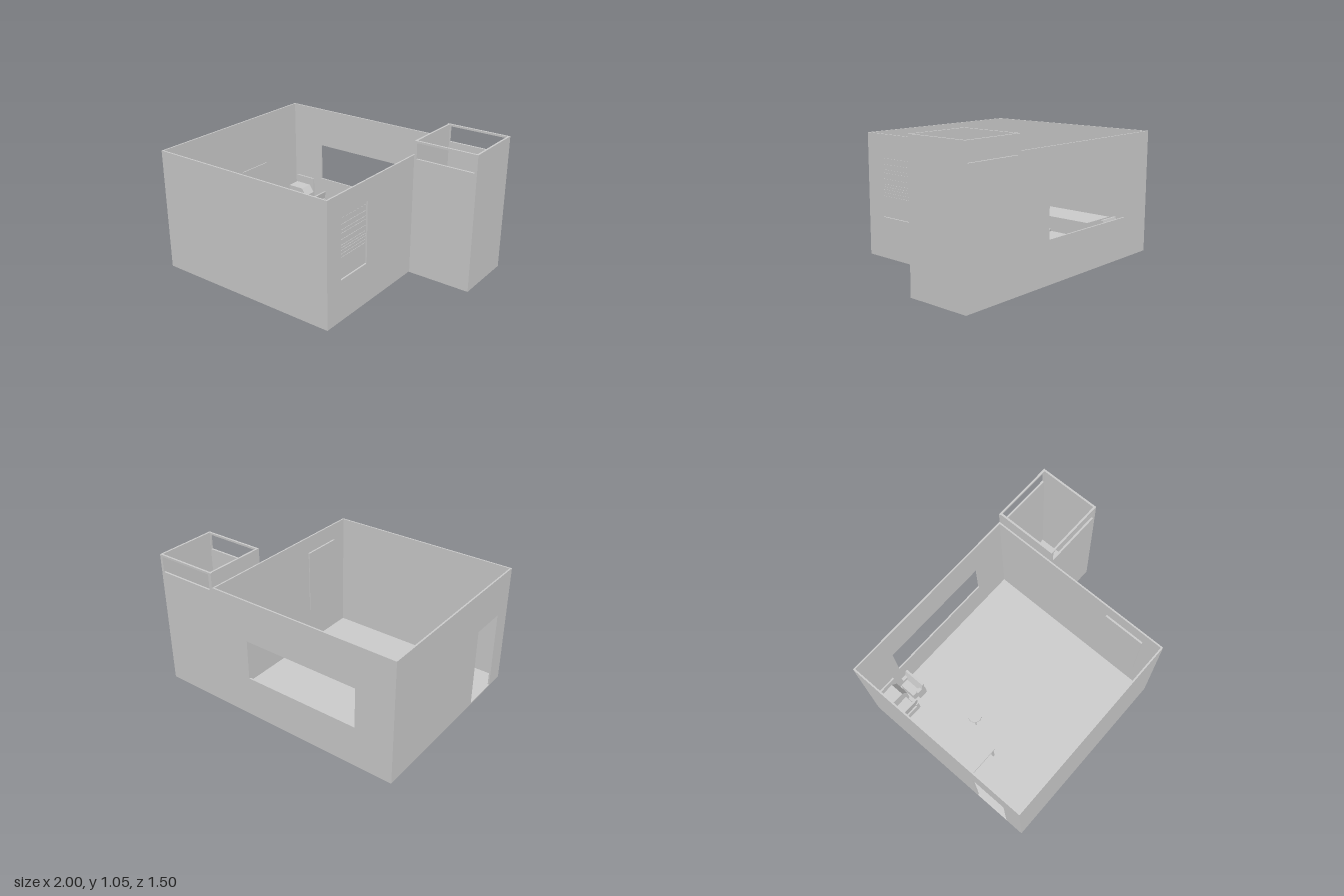
import * as THREE from 'three';

const mat = new THREE.MeshStandardMaterial({ color: 0xcccccc, flatShading: true });

function add(parent, name, geometry, x = 0, y = 0, z = 0) {
  const mesh = new THREE.Mesh(geometry, mat);
  mesh.name = name;
  mesh.position.set(x, y, z);
  parent.add(mesh);
  return mesh;
}

// Box given by its minimum and maximum corners
function box(parent, name, [x0, y0, z0], [x1, y1, z1]) {
  return add(parent, name, new THREE.BoxGeometry(x1 - x0, y1 - y0, z1 - z0),
    (x0 + x1) / 2, (y0 + y1) / 2, (z0 + z1) / 2);
}

// Extruded polygon
function prism(points, depth, holes = []) {
  const toVectors = (list) => list.map(([x, y]) => new THREE.Vector2(x, y));
  const shape = new THREE.Shape(toVectors(points));
  for (const hole of holes) shape.holes.push(new THREE.Path(toVectors(hole)));
  return new THREE.ExtrudeGeometry(shape, { depth, bevelEnabled: false });
}

const rect = (a0, y0, a1, y1) => [[a0, y0], [a1, y0], [a1, y1], [a0, y1]];

// Wall running along x, from z to z + t
function wallX(parent, name, x0, x1, h, z, t, holes = []) {
  return add(parent, name, prism(rect(x0, 0, x1, h), t, holes.map((r) => rect(...r))), 0, 0, z);
}

// Wall running along z, from x - t to x
function wallZ(parent, name, z0, z1, h, x, t, holes = []) {
  const wall = add(parent, name, prism(rect(z0, 0, z1, h), t, holes.map((r) => rect(...r))), x, 0, 0);
  wall.rotation.y = -Math.PI / 2;
  return wall;
}

function createRoom() {
  const room = new THREE.Group();
  room.name = 'room';
  const t = 0.012, h = 0.94;
  box(room, 'roomFloor', [-1 + t, 0, -0.75 + t], [0.5 - t, 0.008, 0.75 - t]);
  wallX(room, 'frontWall', -1, 0.5, h, 0.75 - t, t);
  wallX(room, 'backWall', -1, 0.5, h, -0.75, t, [[-0.705, 0.315, 0.205, 0.622]]);
  wallZ(room, 'doorWall', -0.75 + t, 0.75 - t, h, -1 + t, t, [[0.31, 0.008, 0.6, 0.62]]);
  wallZ(room, 'blindWall', -0.75 + t, 0.75 - t, h, 0.5, t, [[0.305, 0.315, 0.6, 0.785]]);
  return room;
}

function createTower() {
  const tower = new THREE.Group();
  tower.name = 'tower';
  const t = 0.015, h = 1.05, z0 = -0.75, z1 = -0.26;
  const slot = [[0.525, 0.915, 0.98, 1.035]];
  box(tower, 'towerFloor', [0.5 + t, 0, z0 + t], [1 - t, 0.008, z1 - t]);
  wallX(tower, 'towerFrontWall', 0.505, 1, h, z1 - t, t, slot);
  wallX(tower, 'towerBackWall', 0.5, 1, h, z0, t, slot);
  wallZ(tower, 'towerOuterWall', z0 + t, z1 - t, h, 1, t);
  wallZ(tower, 'towerInnerWall', z0 + t, z1 - t, h, 0.505 + t, t);
  return tower;
}

// Blind hanging inside the side window: pleats above, flat cloth below
function createBlind() {
  const blind = new THREE.Group();
  blind.name = 'windowBlind';
  box(blind, 'blindHeadBox', [0.474, 0.76, 0.278], [0.488, 0.81, 0.602]);
  box(blind, 'blindCloth', [0.478, 0.3, 0.28], [0.484, 0.76, 0.602]);
  for (const y of [0.755, 0.71, 0.67, 0.645, 0.6, 0.56, 0.54, 0.52, 0.495, 0.47])
    box(blind, 'blindPleat', [0.483, y - 0.003, 0.306], [0.487, y + 0.003, 0.598]);
  return blind;
}

function createDesk() {
  const desk = new THREE.Group();
  desk.name = 'desk';
  const z0 = -0.435, z1 = 0.212;
  box(desk, 'deskTop', [-0.98, 0.21, z0], [-0.678, 0.225, z1]);
  for (const x of [-0.97, -0.703])
    for (const z of [z0 + 0.01, z1 - 0.025])
      box(desk, 'deskLeg', [x, 0.008, z], [x + 0.015, 0.21, z + 0.015]);
  box(desk, 'wallScreen', [-0.988, 0.33, -0.345], [-0.98, 0.52, 0.045 - 0.095]);
  return desk;
}

function createStool() {
  const stool = new THREE.Group();
  stool.name = 'stool';
  add(stool, 'stoolSeat', new THREE.CylinderGeometry(0.052, 0.052, 0.015, 32), -0.575, 0.133, -0.095);
  for (let i = 0; i < 4; i++) {
    const a = Math.PI / 4 + (i * Math.PI) / 2;
    add(stool, 'stoolLeg', new THREE.CylinderGeometry(0.005, 0.005, 0.118, 8),
      -0.575 + 0.036 * Math.cos(a), 0.067, -0.095 + 0.036 * Math.sin(a));
  }
  return stool;
}

// Armchair with its back along local -z and origin at the floor centre
function createArmchair(name, w, d, h, seatH) {
  const chair = new THREE.Group();
  chair.name = name;
  const arm = w * 0.14, b = d / 2;
  box(chair, 'seat', [-w / 2 + arm, 0, -b], [w / 2 - arm, seatH, b]);
  // Leaning backrest, as a side profile extruded across the chair
  const back = add(chair, 'backrest', prism(
    [[b - 0.045, seatH], [b - 0.035, 0], [b - 0.025, 0], [b, h], [b - 0.016, h]], w), w / 2, 0, 0);
  back.rotation.y = Math.PI / 2;
  back.position.x = -w / 2;
  for (const x of [-w / 2, w / 2 - arm])
    box(chair, 'armrest', [x, 0, -b], [x + arm, seatH + 0.035, b - 0.035]);
  return chair;
}

// Cabinet with a sloping side and an upright panel behind it
function createCabinet() {
  const cabinet = new THREE.Group();
  cabinet.name = 'cornerCabinet';
  add(cabinet, 'cabinetBody',
    prism([[-0.965, 0.008], [-0.785, 0.008], [-0.785, 0.17], [-0.825, 0.23], [-0.965, 0.23]], 0.11), 0, 0, -0.722);
  box(cabinet, 'cabinetPanel', [-0.965, 0.008, -0.735], [-0.785, 0.295, -0.722]);
  return cabinet;
}

export function createModel() {
  const model = new THREE.Group();
  model.name = 'roomWithTower';
  // Armchair turned towards the back wall, and one facing the corner
  const chairA = createArmchair('frontArmchair', 0.18, 0.12, 0.23, 0.11);
  chairA.rotation.y = Math.PI;
  chairA.position.set(-0.875, 0.008, -0.55);
  const chairB = createArmchair('sideArmchair', 0.18, 0.11, 0.195, 0.1);
  chairB.rotation.y = -Math.PI / 2;
  chairB.position.set(-0.71, 0.008, -0.64);
  model.add(createRoom(), createTower(), createBlind(), createDesk(), createStool(),
    createCabinet(), chairA, chairB);
  return model;
}
